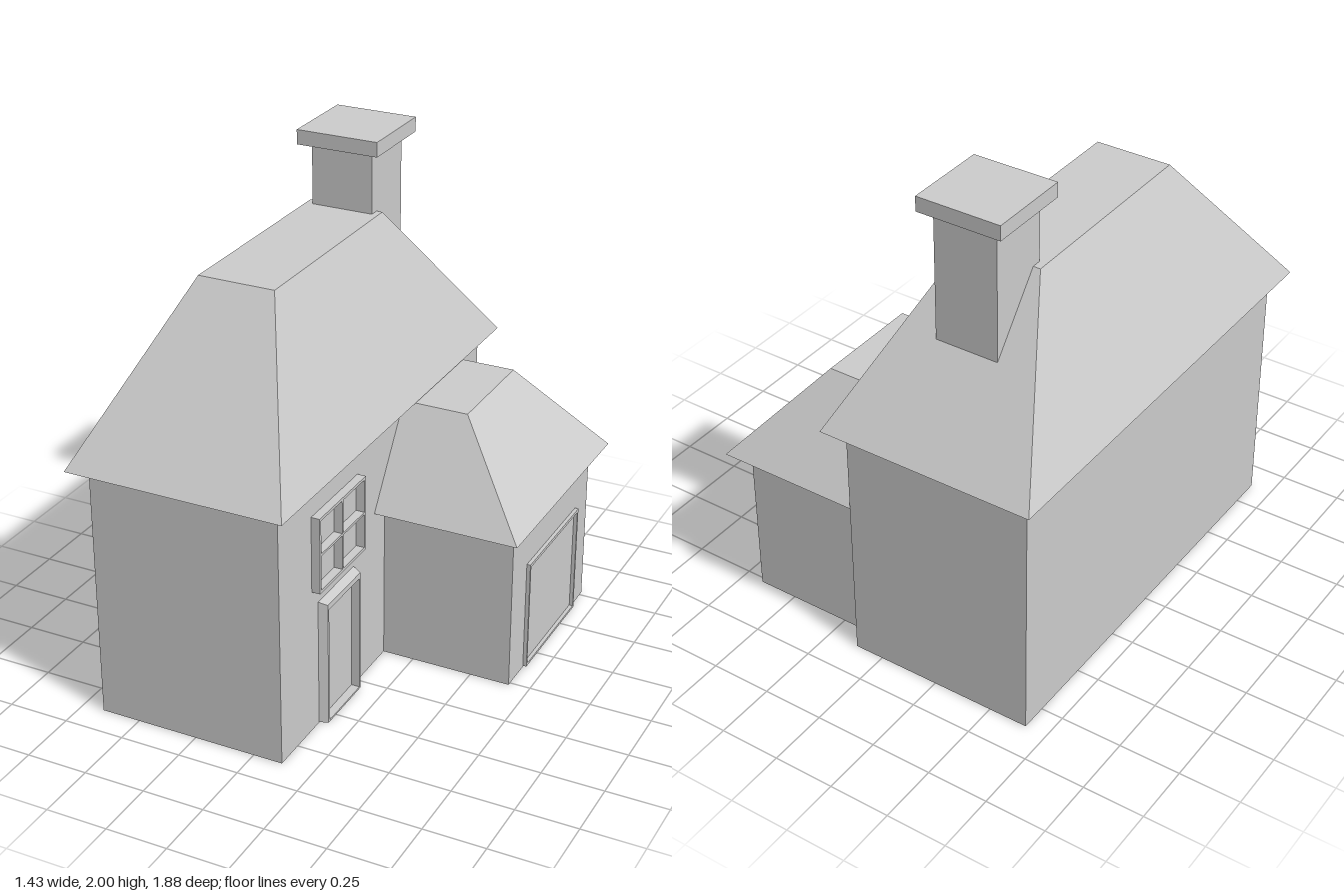
import * as THREE from 'three';

const material = new THREE.MeshStandardMaterial({ color: 0xcccccc, flatShading: true, side: THREE.DoubleSide });

function add(group, name, geometry) {
  const mesh = new THREE.Mesh(geometry, material);
  mesh.name = name;
  group.add(mesh);
}

// Box given by its limits on each axis
function block(x0, x1, y0, y1, z0, z1) {
  return new THREE.BoxGeometry(x1 - x0, y1 - y0, z1 - z0)
    .translate((x0 + x1) / 2, (y0 + y1) / 2, (z0 + z1) / 2);
}

// Hipped roof: a box whose top corners move in to a smaller rectangle [x0, x1, z0, z1]
function hipRoof(y0, y1, base, top) {
  const geometry = new THREE.BoxGeometry(1, 1, 1);
  const p = geometry.attributes.position;
  for (let i = 0; i < p.count; i++) {
    const up = p.getY(i) > 0;
    const r = up ? top : base;
    p.setXYZ(i, p.getX(i) > 0 ? r[1] : r[0], up ? y1 : y0, p.getZ(i) > 0 ? r[3] : r[2]);
  }
  geometry.computeVertexNormals();
  return geometry;
}

function rectangle(target, z0, z1, y0, y1) {
  target.moveTo(-z1, y0);
  target.lineTo(-z0, y0);
  target.lineTo(-z0, y1);
  target.lineTo(-z1, y1);
  target.closePath();
  return target;
}

// Frame on a wall facing +x; outer and holes are [z0, z1, y0, y1], taper narrows the outer front edge
function wallFrame(x0, x1, outer, holes, taper = 0) {
  const shape = rectangle(new THREE.Shape(), ...outer);
  for (const hole of holes) shape.holes.push(rectangle(new THREE.Path(), ...hole));
  const geometry = new THREE.ExtrudeGeometry(shape, { depth: x1 - x0, bevelEnabled: false });
  geometry.rotateY(Math.PI / 2).translate(x0, 0, 0);
  const p = geometry.attributes.position;
  const near = (a, b) => Math.abs(a - b) < 1e-4;
  for (let i = 0; taper && i < p.count; i++) {
    if (!near(p.getX(i), x1)) continue;
    if (near(p.getZ(i), outer[0])) p.setZ(i, outer[0] + taper);
    if (near(p.getZ(i), outer[1])) p.setZ(i, outer[1] - taper);
    if (near(p.getY(i), outer[3])) p.setY(i, outer[3] - taper);
  }
  geometry.computeVertexNormals();
  return geometry;
}

export function createModel() {
  const house = new THREE.Group();
  house.name = 'house';

  // Main house
  add(house, 'mainWalls', block(-0.66, 0.12, 0, 1.055, -0.86, 0.875));
  add(house, 'mainRoof', hipRoof(1.055, 1.69, [-0.72, 0.175, -0.94, 0.945], [-0.43, -0.115, -0.435, 0.44]));

  // Chimney
  add(house, 'chimney', block(-0.4, -0.14, 1.2, 1.94, -0.655, -0.395));
  add(house, 'chimneyCap', block(-0.445, -0.1, 1.94, 2, -0.7, -0.355));

  // Garage wing; its roof runs into the main house
  add(house, 'garageWalls', block(0.04, 0.665, 0, 0.675, -0.77, 0.015));
  add(house, 'garageRoof', hipRoof(0.675, 1.05, [0.06, 0.715, -0.86, 0.105], [0.06, 0.39, -0.6, -0.15]));
  add(house, 'garageDoorFrame', wallFrame(0.665, 0.68, [-0.64, -0.13, 0.005, 0.47], [[-0.63, -0.14, 0.015, 0.457]]));

  // Front door
  add(house, 'doorFrame', wallFrame(0.12, 0.155, [0.283, 0.577, 0.002, 0.535], [[0.303, 0.555, 0.01, 0.5]], 0.012));

  // Window with four panes
  const panes = [];
  for (const [z0, z1] of [[0.262, 0.435], [0.445, 0.613]]) {
    for (const [y0, y1] of [[0.615, 0.758], [0.768, 0.905]]) panes.push([z0, z1, y0, y1]);
  }
  add(house, 'windowFrame', wallFrame(0.12, 0.155, [0.25, 0.625, 0.603, 0.917], panes));

  return house;
}
